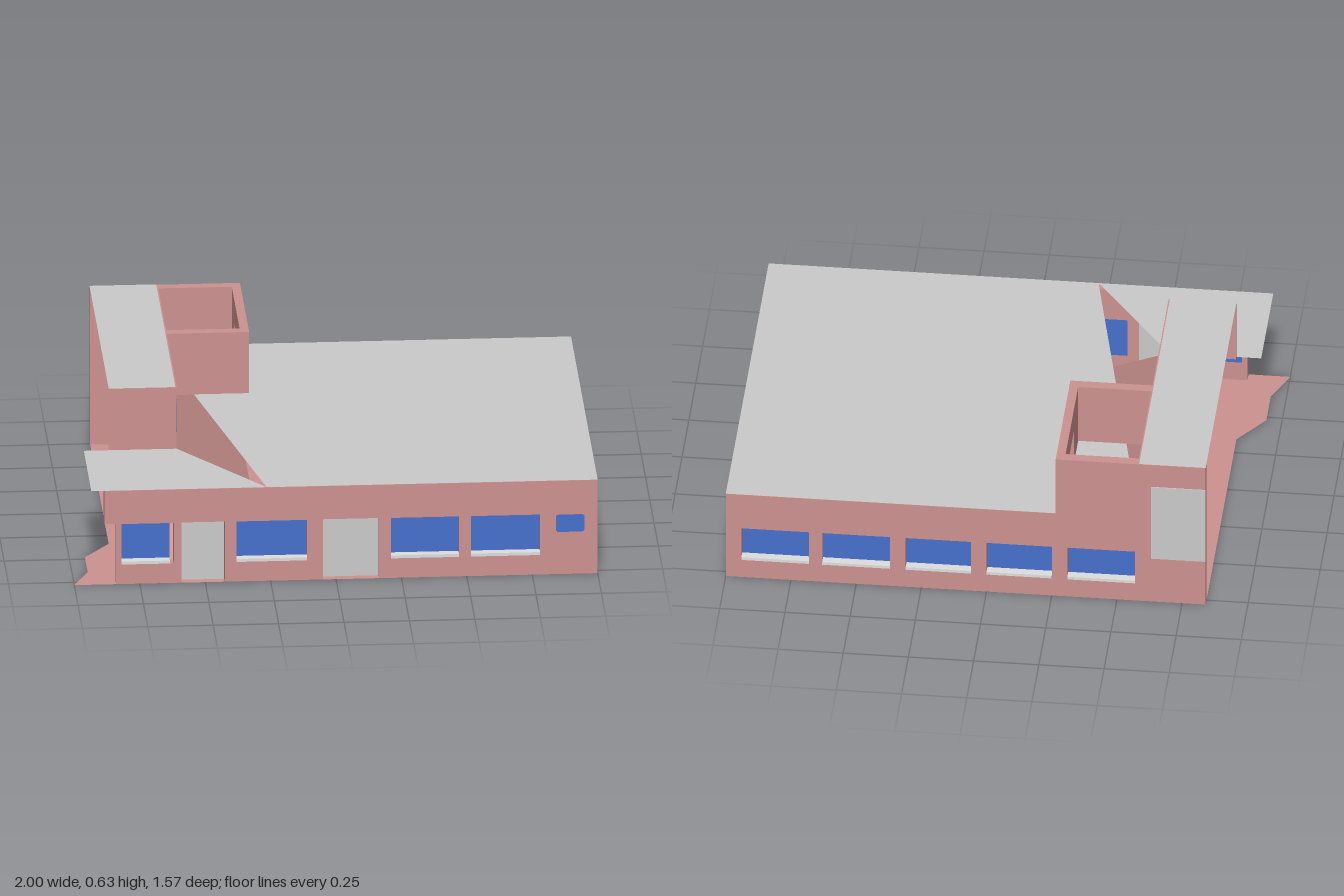
import * as THREE from 'three';

const mat = (name, color) => new THREE.MeshStandardMaterial({ name, color, side: THREE.DoubleSide });

export function createModel() {
  const model = new THREE.Group();
  model.name = 'building';
  const pink = mat('pinkWall', 0xcc9290);
  const grey = mat('greyRoof', 0xcacaca);
  const blue = mat('blueGlass', 0x4670cc);
  const white = mat('paleSill', 0xdedede);

  const add = (name, geo, m, x = 0, y = 0, z = 0) => {
    const mesh = new THREE.Mesh(geo, m);
    mesh.name = name;
    mesh.position.set(x, y, z);
    model.add(mesh);
    return mesh;
  };
  // Box given by its limits on each axis
  const box = (name, m, x0, x1, y0, y1, z0, z1) => add(name,
    new THREE.BoxGeometry(x1 - x0, y1 - y0, z1 - z0), m, (x0 + x1) / 2, (y0 + y1) / 2, (z0 + z1) / 2);
  const outline = (pts) => new THREE.Shape(pts.map(([a, b]) => new THREE.Vector2(a, b)));
  const rect = (x0, x1, y0, y1) => [[x0, y0], [x1, y0], [x1, y1], [x0, y1]];
  // Horizontal sheet from x,z points
  const sheet = (name, m, y, pts) =>
    add(name, new THREE.ShapeGeometry(outline(pts)).rotateX(Math.PI / 2), m, 0, y, 0);
  // Thin upright plate with rounded corners
  const plate = (w, h, r) => {
    const s = new THREE.Shape();
    const a = w / 2 - r, b = h / 2 - r;
    s.absarc(a, b, r, 0, Math.PI / 2);
    s.absarc(-a, b, r, Math.PI / 2, Math.PI);
    s.absarc(-a, -b, r, Math.PI, Math.PI * 1.5);
    s.absarc(a, -b, r, Math.PI * 1.5, Math.PI * 2);
    return new THREE.ExtrudeGeometry(s, { depth: 0.004, bevelEnabled: false, curveSegments: 4 });
  };
  // Wall 0.04 thick with window holes
  const wall = (name, pts, holes, z) => {
    const s = outline(pts);
    holes.forEach((h) => s.holes.push(outline(rect(...h))));
    add(name, new THREE.ExtrudeGeometry(s, { depth: 0.04, bevelEnabled: false }), pink, 0, 0, z);
  };

  // Floor, widening to a pointed terrace at the front left
  sheet('floor', pink, 0, [[-0.84, -0.78], [1, -0.78], [1, 0.78], [-1, 0.78],
    [-0.94, 0.64], [-0.94, 0.48], [-0.84, 0.34]]);

  // Front wall with overhanging fascia, door notches and windows
  const frontWindows = [[-0.82, -0.62], [-0.38, -0.11], [0.21, 0.47], [0.515, 0.78]];
  const doors = [[-0.59, -0.425], [-0.05, 0.165]];
  const frontPts = [[-0.885, 0.38], [-0.885, 0.245], [-0.84, 0.245], [-0.84, 0]];
  doors.forEach(([a, b]) => frontPts.push([a, 0], [a, 0.245], [b, 0.245], [b, 0]));
  frontPts.push([1, 0], [1, 0.38]);
  wall('frontWall', frontPts, frontWindows.map(([a, b]) => [a, b, 0.08, 0.244]), 0.74);
  frontWindows.forEach(([a, b], i) => {
    box('frontGlass', blue, a, i ? b : -0.635, 0.08, 0.244, 0.74, 0.748);
    box('frontSill', white, a, i ? b : -0.635, 0.08, 0.092, 0.748, 0.782);
  });
  doors.forEach(([a, b]) => box('door', grey, a, b, 0, 0.245, 0.74, 0.748));
  add('smallWindow', plate(0.11, 0.07, 0.012), blue, 0.895, 0.207, 0.778);

  // Back wall, stepping up behind the upper storey
  const backWindows = [[0.68, 0.94], [0.37, 0.63], [0.06, 0.31], [-0.25, 0.0], [-0.57, -0.31]];
  wall('backWall', [[-0.84, 0], [1, 0], [1, 0.38], [-0.265, 0.38], [-0.265, 0.63], [-0.84, 0.63]],
    backWindows.map(([a, b]) => [a, b, 0.08, 0.225]), -0.78);
  backWindows.forEach(([a, b]) => {
    box('backGlass', blue, a, b, 0.08, 0.225, -0.748, -0.74);
    box('backSill', white, a, b, 0.08, 0.092, -0.782, -0.748);
  });
  box('backPanel', grey, -0.84, -0.63, 0.2, 0.53, -0.784, -0.778);

  // Right wall and its two rounded windows
  box('rightWall', pink, 0.97, 1, 0, 0.38, -0.779, 0.779);
  [0.163, -0.173].forEach((z) => {
    add('sideWindow', plate(0.127, 0.15, 0.015), blue, 0.998, 0.167, z).rotation.y = Math.PI / 2;
  });

  // Main roof and porch canopy, with a three-cornered opening between
  sheet('mainRoof', grey, 0.381, [[-0.58, -0.75], [-0.265, 0.78], [1, 0.78], [1, -0.78], [-0.58, -0.78]]);
  sheet('canopy', grey, 0.381, [[-0.935, 0.34], [-0.58, 0.34], [-0.265, 0.78], [-0.935, 0.78]]);

  // Sloping surface under the roof opening
  const slope = new THREE.BufferGeometry();
  const a = [-0.58, 0.38, -0.74], b = [-0.58, 0.38, 0.34], c = [-0.65, 0.002, 0.74];
  const d = [-0.26, 0.002, 0.74], e = [-0.26, 0.002, -0.74];
  slope.setAttribute('position', new THREE.Float32BufferAttribute(
    [a, b, d, a, d, e, b, c, d].flat(), 3));
  slope.computeVertexNormals();
  add('innerSlope', slope, pink);

  // Upper storey, open on its left side
  box('upperFront', pink, -0.84, -0.58, 0.38, 0.63, 0.325, 0.34);
  box('upperRight', pink, -0.595, -0.58, 0.38, 0.63, -0.74, 0.325);
  sheet('upperRoof', grey, 0.632, [[-0.84, -0.78], [-0.585, -0.78], [-0.585, 0.34], [-0.84, 0.34]]);
  add('upperWindow', plate(0.525, 0.125, 0.015), blue, -0.58, 0.498, 0.048).rotation.y = Math.PI / 2;

  // Roof enclosure with a doorway on the right
  box('enclosureFront', pink, -0.58, -0.265, 0.38, 0.63, -0.285, -0.245);
  const side = outline([[0.245, 0.38], [0.43, 0.38], [0.43, 0.53], [0.6, 0.53], [0.6, 0.38],
    [0.78, 0.38], [0.78, 0.63], [0.245, 0.63]]);
  add('enclosureRight', new THREE.ExtrudeGeometry(side, { depth: 0.034, bevelEnabled: false }),
    pink, -0.299, 0, 0).rotation.y = Math.PI / 2;

  return model;
}
